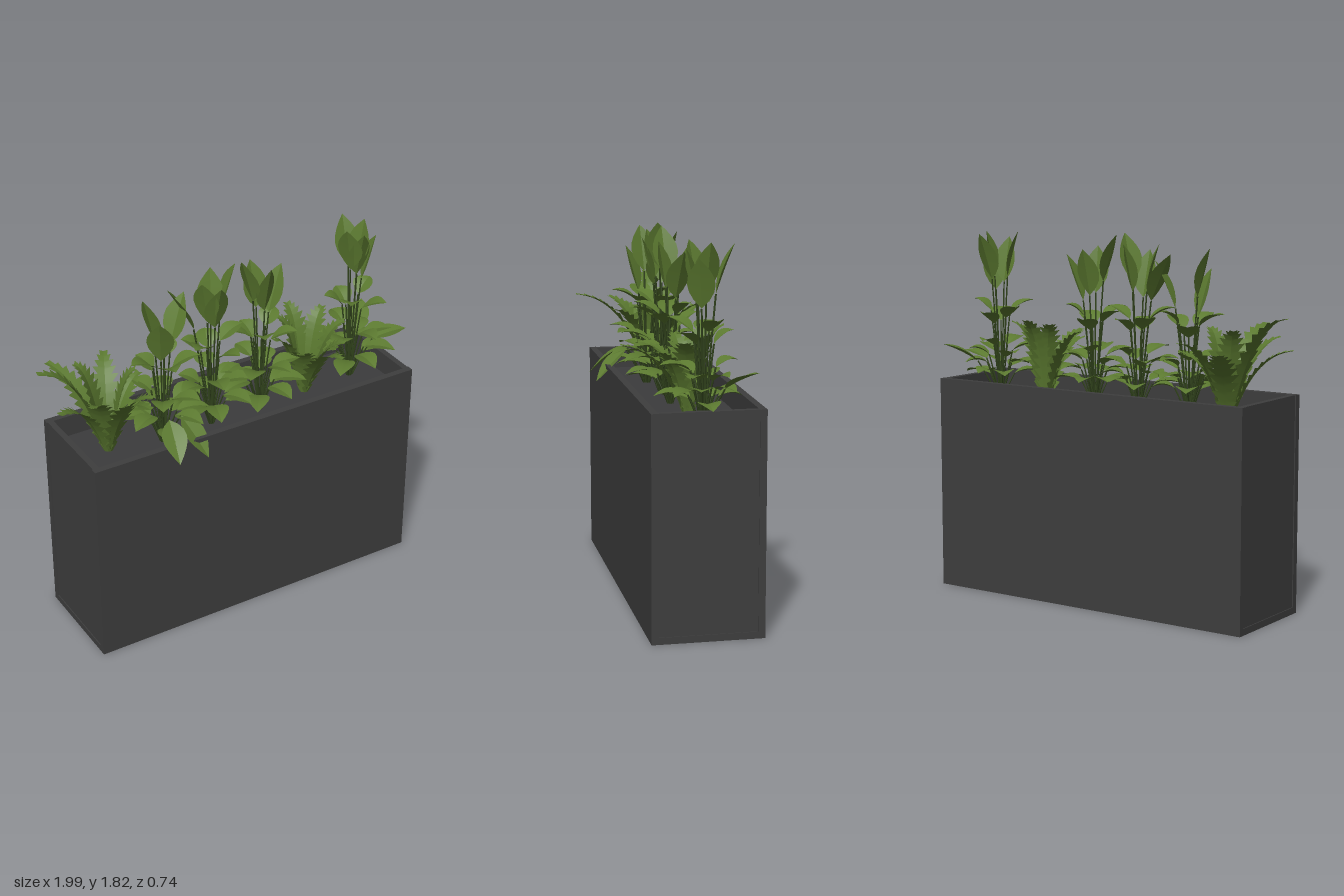
import * as THREE from 'three';
import { mergeGeometries } from 'three/addons/utils/BufferGeometryUtils.js';

const SOIL = 0.96;
const V = (x, y, z) => new THREE.Vector3(x, y, z);

// Creased strip along a curve; profile rows are [t, half width, forward sweep of the edge]
function ribbon(curve, out, profile, fold) {
  const side = V(out.z, 0, -out.x).normalize();
  const pos = [], idx = [];
  profile.forEach(([t, w, sweep = 0], i) => {
    const p = curve.getPoint(t), tan = curve.getTangent(t);
    const up = tan.clone().cross(side).normalize();
    const edge = (s) => p.clone().addScaledVector(side, s * w)
      .addScaledVector(up, fold * w).addScaledVector(tan, sweep);
    [edge(-1), p, p, edge(1)].forEach((v) => pos.push(v.x, v.y, v.z));
    if (i) for (const k of [0, 2]) {
      const a = (i - 1) * 4 + k, b = i * 4 + k;
      idx.push(a, a + 1, b, a + 1, b + 1, b);
    }
  });
  const g = new THREE.BufferGeometry();
  g.setAttribute('position', new THREE.Float32BufferAttribute(pos, 3));
  g.setIndex(idx);
  g.computeVertexNormals();
  return g;
}

// Oval pointed leaf between two points
function leaf(base, tip, width, arch) {
  const out = V(tip.x - base.x, 0, tip.z - base.z);
  const mid = base.clone().lerp(tip, 0.5);
  mid.y += arch;
  const curve = new THREE.QuadraticBezierCurve3(base, mid, tip);
  const profile = [];
  for (let i = 0; i <= 7; i++) {
    profile.push([i / 7, (width / 2) * Math.sin(Math.PI * Math.pow(i / 7, 0.85))]);
  }
  return ribbon(curve, out, profile, 0.25);
}

// Arching frond with saw-tooth edges
function frond(base, tip) {
  const out = V(tip.x - base.x, 0, tip.z - base.z);
  const ctrl = V(base.x + out.x * 0.35, tip.y - 0.02, base.z + out.z * 0.35);
  const curve = new THREE.QuadraticBezierCurve3(base, ctrl, tip);
  const profile = [[0, 0.006]], teeth = 11;
  for (let i = 0; i < teeth; i++) {
    const t = (i + 0.6) / teeth;
    const w = 0.015 + 0.058 * Math.sin(Math.PI * Math.pow(t, 0.8));
    profile.push([t, w, 0.014], [(i + 0.98) / teeth, i === teeth - 1 ? 0 : w * 0.5]);
  }
  return ribbon(curve, out, profile, 0.2);
}

function stem(from, to) {
  const mid = V(from.x + (to.x - from.x) * 0.4, (from.y + to.y) / 2, from.z + (to.z - from.z) * 0.4);
  return new THREE.TubeGeometry(new THREE.QuadraticBezierCurve3(from, mid, to), 5, 0.0045, 4);
}

// Leafy plants: tips of upright crown leaves and of extra low leaves, from the plant centre
const PLANTS = [
  { x: -0.41, z: 0.04, phase: 0.3,
    crown: [[-0.1, 1.76, 0.02], [0.16, 1.7, -0.06], [-0.06, 1.66, 0.1]],
    low: [[-0.07, 1.01, 0.29], [0.09, 0.99, 0.28]] },
  { x: -0.13, z: 0.02, phase: 1.1,
    crown: [[0.11, 1.82, 0.04], [-0.08, 1.77, 0.06], [0.04, 1.77, -0.07], [-0.21, 1.73, -0.04], [0, 1.74, 0.1]],
    low: [] },
  { x: 0.14, z: 0.03, phase: 0.6,
    crown: [[-0.12, 1.81, 0.02], [0.02, 1.75, 0.06], [0.14, 1.71, -0.04], [0, 1.74, -0.1]],
    low: [] },
  { x: 0.7, z: -0.01, phase: 0.8,
    crown: [[-0.08, 1.81, 0.05], [0.07, 1.81, -0.02], [0, 1.78, 0.08], [0.1, 1.74, 0.04], [0.02, 1.8, -0.14]],
    low: [[0.29, 1.18, 0.07], [0.21, 1.24, -0.21]] },
];

// Ferns: frond tips from the fern centre
const FERNS = [
  { x: -0.67, z: -0.03, tips: [[-0.33, 1.46, -0.03], [-0.29, 1.3, 0.1], [-0.14, 1.31, -0.34],
    [0.12, 1.34, -0.25], [0.02, 1.39, 0.4], [0.13, 1.32, 0.22], [-0.17, 1.35, 0.2],
    [0.13, 1.39, 0.05], [-0.1, 1.4, -0.12], [0.22, 1.28, -0.08]] },
  { x: 0.42, z: 0, tips: [[-0.2, 1.32, 0.03], [-0.1, 1.36, -0.1], [0, 1.38, -0.17],
    [0.15, 1.36, -0.08], [0.19, 1.33, 0.06], [0, 1.3, 0.32], [-0.13, 1.28, 0.16],
    [0.12, 1.28, 0.17]] },
];

export function createModel() {
  const model = new THREE.Group();
  const material = (name, color, side = THREE.FrontSide) => {
    const m = new THREE.MeshStandardMaterial({ color, side });
    m.name = name;
    return m;
  };
  const grey = material('charcoal', 0x3e3e3e);
  const soilGrey = material('soil grey', 0x3c3c3d);
  const leafGreen = material('leaf green', 0x5c7a30, THREE.DoubleSide);
  const fernGreen = material('fern green', 0x5a782f, THREE.DoubleSide);
  const stemGreen = material('stem green', 0x34471e);
  const add = (parent, name, geometry, mat, x = 0, y = 0, z = 0) => {
    const mesh = new THREE.Mesh(geometry, mat);
    mesh.name = name;
    mesh.position.set(x, y, z);
    parent.add(mesh);
  };

  // Trough: long panels, recessed end panels, floor and soil
  const planter = new THREE.Group();
  planter.name = 'planter';
  model.add(planter);
  for (const s of [-1, 1]) {
    add(planter, s > 0 ? 'frontPanel' : 'backPanel', new THREE.BoxGeometry(1.78, 1.07, 0.033), grey, 0, 0.535, s * 0.2485);
    add(planter, s > 0 ? 'leftPanel' : 'rightPanel', new THREE.BoxGeometry(0.03, 1.04, 0.464), grey, s * 0.87, 0.55, 0);
  }
  add(planter, 'floor', new THREE.BoxGeometry(1.78, 0.033, 0.464), grey, 0, 0.0165, 0);
  add(planter, 'soil', new THREE.BoxGeometry(1.712, 0.04, 0.464), soilGrey, 0, SOIL - 0.02, 0);

  // Leafy plants
  for (const p of PLANTS) {
    const group = new THREE.Group();
    group.name = 'leafyPlant';
    group.position.set(p.x, 0, p.z);
    model.add(group);
    const leaves = [], stems = [];
    const grow = (base, tip, width, arch) => {
      leaves.push(leaf(base, tip, width, arch));
      stems.push(stem(V(base.x * 0.12, SOIL - 0.01, base.z * 0.12), base));
    };
    for (const [x, y, z] of p.crown) grow(V(x * 0.4, y - 0.23, z * 0.4), V(x, y, z), 0.13, 0.015);
    for (const [x, y, z] of p.low) grow(V(x * 0.4, 1.15, z * 0.4), V(x, y, z), 0.12, 0.015);
    // Three tiers of spreading leaves, smaller towards the top
    for (let tier = 0; tier < 3; tier++) {
      const count = [8, 6, 5][tier], height = [1.11, 1.2, 1.37][tier];
      for (let i = 0; i < count; i++) {
        const angle = p.phase + tier * 0.7 + (i / count) * Math.PI * 2;
        const c = Math.cos(angle), s = Math.sin(angle);
        const near = 0.07 - tier * 0.01;
        const far = (0.23 - tier * 0.025) * (s < -0.3 ? 0.8 : 1);
        const h = height + 0.035 * Math.sin(i * 2.3 + p.phase);
        grow(V(c * near, h, s * near), V(c * far, h + tier * 0.03, s * far), 0.11, 0.03);
      }
    }
    add(group, 'leaves', mergeGeometries(leaves), leafGreen);
    add(group, 'stems', mergeGeometries(stems), stemGreen);
  }

  // Ferns
  for (const f of FERNS) {
    const fronds = f.tips.map(([x, y, z]) => {
      const r = 0.02 / Math.hypot(x, z);
      return frond(V(x * r, SOIL - 0.01, z * r), V(x, y, z));
    });
    add(model, 'fern', mergeGeometries(fronds), fernGreen, f.x, 0, f.z);
  }
  return model;
}
